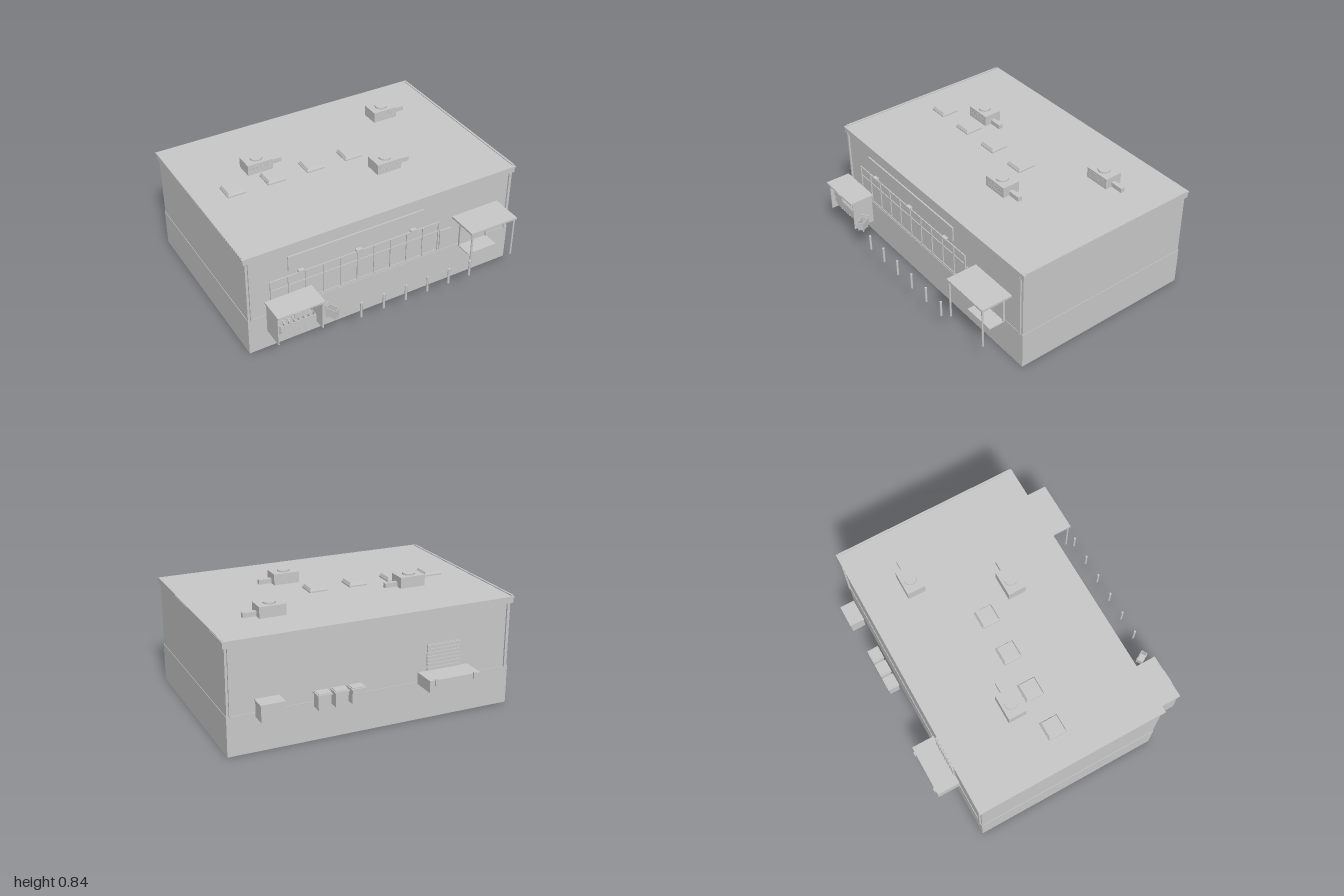
import * as THREE from 'three';

const grey = new THREE.MeshStandardMaterial({ color: 0xc8c8c8 });
grey.name = 'plain light grey';

export function createModel() {
  const model = new THREE.Group();
  model.name = 'storeBuilding';

  const add = (name, geometry, parent = model) => {
    const mesh = new THREE.Mesh(geometry, grey);
    mesh.name = name;
    parent.add(mesh);
    return mesh;
  };
  // box given by its limits on each axis
  const box = (name, x0, x1, y0, y1, z0, z1, parent = model) => {
    const mesh = add(name, new THREE.BoxGeometry(x1 - x0, y1 - y0, z1 - z0), parent);
    mesh.position.set((x0 + x1) / 2, (y0 + y1) / 2, (z0 + z1) / 2);
    return mesh;
  };
  const rod = (name, x, z, y0, y1, r, parent = model, sides = 12) => {
    const mesh = add(name, new THREE.CylinderGeometry(r, r, y1 - y0, sides), parent);
    mesh.position.set(x, (y0 + y1) / 2, z);
    return mesh;
  };
  const group = (name) => {
    const g = new THREE.Group();
    g.name = name;
    model.add(g);
    return g;
  };

  // main volume
  box('base', -0.985, 0.985, 0, 0.265, -0.707, 0.615);
  box('upperWalls', -0.982, 0.982, 0.265, 0.71, -0.703, 0.612);
  box('roofFascia', -0.995, 0.995, 0.705, 0.742, -0.716, 0.62);
  box('roofSlab', -1, 1, 0.74, 0.75, -0.72, 0.623);
  for (const s of [-1, 1]) {
    box('roofEdge', s * 0.992 - 0.007, s * 0.992 + 0.007, 0.75, 0.756, -0.705, 0.605);
    for (const z of [0.617, -0.709]) {
      box('downpipe', s * 0.96 - 0.007, s * 0.96 + 0.007, 0.26, 0.71, z - 0.006, z + 0.006);
    }
  }

  // sign board and lamps
  box('signBoard', -0.70, 0.285, 0.55, 0.655, 0.61, 0.622);
  for (const x of [-0.615, -0.205, 0.2]) {
    box('signLamp', x - 0.02, x + 0.02, 0.52, 0.532, 0.61, 0.637);
  }

  // shop windows
  const windows = group('shopWindows');
  box('glass', -0.825, 0.41, 0.28, 0.505, 0.61, 0.6135, windows);
  for (let i = 0; i <= 10; i++) {
    const x = -0.822 + i * 0.1228;
    box('mullion', x - 0.004, x + 0.004, 0.28, 0.505, 0.61, 0.621, windows);
  }
  for (const y of [0.283, 0.435, 0.505]) {
    box('windowRail', -0.826, 0.41, y - 0.004, y + 0.004, 0.61, 0.619, windows);
  }
  box('noticePanel', 0.42, 0.51, 0.28, 0.43, 0.61, 0.62);

  // entrance with canopy
  const entrance = group('entrance');
  box('doorLeaf', 0.59, 0.80, 0.25, 0.465, 0.61, 0.617, entrance);
  for (const x of [0.585, 0.802]) {
    box('doorFrame', x - 0.005, x + 0.005, 0.25, 0.475, 0.61, 0.627, entrance);
  }
  box('doorMeeting', 0.69, 0.7, 0.25, 0.465, 0.61, 0.62, entrance);
  box('doorHead', 0.58, 0.807, 0.465, 0.475, 0.61, 0.627, entrance);
  box('doorSensor', 0.68, 0.71, 0.467, 0.482, 0.61, 0.633, entrance);
  box('doorstep', 0.58, 0.807, 0.245, 0.253, 0.61, 0.73, entrance);
  box('canopyRoof', 0.515, 0.875, 0.495, 0.51, 0.612, 0.833, entrance);
  for (const x of [0.53, 0.862]) {
    rod('canopyPost', x, 0.822, 0.21, 0.5, 0.007, entrance);
  }

  // bollards
  for (let i = 0; i < 6; i++) {
    rod('bollard', -0.328 + i * 0.1637, 0.867, 0.21, 0.325, 0.008);
  }

  // trolley with open basket, handle toward -x
  const trolley = (x, z, turn) => {
    const g = group('trolley');
    for (const s of [-1, 1]) {
      box('basketSide', -0.035, 0.035, 0.265, 0.323, s * 0.021 - 0.002, s * 0.021 + 0.002, g);
      box('chassisRail', -0.035, 0.03, 0.258, 0.263, s * 0.018 - 0.002, s * 0.018 + 0.002, g);
      box('handleArm', -0.045, -0.039, 0.265, 0.335, s * 0.021 - 0.002, s * 0.021 + 0.002, g);
      for (const wx of [-0.03, 0.027]) {
        const wheel = rod('wheel', wx, s * 0.018, 0.25, 0.255, 0.006, g, 10);
        wheel.rotation.x = Math.PI / 2;
      }
    }
    box('basketFloor', -0.035, 0.035, 0.265, 0.269, -0.022, 0.022, g);
    box('basketFront', 0.032, 0.036, 0.265, 0.32, -0.022, 0.022, g);
    box('basketBack', -0.036, -0.032, 0.265, 0.325, -0.022, 0.022, g);
    box('handle', -0.046, -0.04, 0.331, 0.337, -0.023, 0.023, g);
    g.position.set(x, 0, z);
    g.rotation.y = turn;
  };
  for (let i = 0; i < 6; i++) trolley(-0.825 + i * 0.034, 0.795, 0);
  trolley(-0.505, 0.818, -1.05);

  // trolley shelter
  const shelter = group('trolleyShelter');
  box('shelterRoof', -0.897, -0.575, 0.42, 0.433, 0.68, 0.856, shelter);
  for (const x of [-0.888, -0.584]) {
    box('shelterSide', x - 0.004, x + 0.004, 0.21, 0.422, 0.69, 0.84, shelter);
  }
  box('shelterBack', -0.888, -0.584, 0.21, 0.422, 0.688, 0.694, shelter);
  box('shelterPlate', -0.79, -0.69, 0.388, 0.43, 0.853, 0.86, shelter);

  // rooftop ventilation units
  for (const [x, z] of [[-0.49, -0.217], [0.57, -0.377], [0.245, 0.196]]) {
    const unit = group('roofVentUnit');
    box('cabinet', -0.09, 0.09, 0.75, 0.825, -0.063, 0.063, unit);
    rod('fanCover', 0, 0, 0.825, 0.836, 0.042, unit, 24);
    box('duct', 0.09, 0.18, 0.752, 0.784, -0.015, 0.015, unit);
    for (let i = 0; i < 4; i++) {
      for (let j = 0; j < 6; j++) {
        const y = 0.766 + i * 0.013;
        const gx = -0.074 + j * 0.0255;
        box('grilleSlat', gx, gx + 0.02, y, y + 0.006, 0.062, 0.0645, unit);
      }
    }
    unit.position.set(x, 0, z);
  }

  // skylights with slightly sloping domes
  for (const x of [-0.738, -0.453, -0.168, 0.12]) {
    box('skylightCurb', x - 0.064, x + 0.064, 0.75, 0.76, -0.116, 0.012);
    const dome = new THREE.CylinderGeometry(0.077, 0.089, 0.02, 4, 1).toNonIndexed();
    dome.rotateY(Math.PI / 4);
    dome.computeVertexNormals();
    add('skylightDome', dome).position.set(x, 0.769, -0.052);
  }

  // rear loading dock and shutter
  const dock = group('loadingDock');
  box('dockPlatform', -0.673, -0.308, 0.25, 0.33, -0.865, -0.7, dock);
  for (const x of [-0.632, -0.355]) {
    box('dockBumper', x - 0.011, x + 0.011, 0.295, 0.338, -0.875, -0.86, dock);
  }
  box('shutter', -0.615, -0.37, 0.33, 0.51, -0.708, -0.7, dock);
  for (let i = 0; i < 7; i++) {
    const y = 0.34 + i * 0.025;
    box('shutterSlat', -0.613, -0.372, y, y + 0.014, -0.714, -0.707, dock);
  }

  // rear bins and service cabinet
  for (const x of [0.163, 0.276, 0.39]) {
    box('binBody', x - 0.043, x + 0.043, 0.25, 0.342, -0.817, -0.745);
    box('binLid', x - 0.049, x + 0.049, 0.342, 0.35, -0.822, -0.74);
    box('binLidTop', x - 0.041, x + 0.041, 0.35, 0.355, -0.814, -0.748);
  }
  box('serviceCabinet', 0.66, 0.81, 0.25, 0.358, -0.835, -0.738);
  box('cabinetLid', 0.655, 0.815, 0.358, 0.366, -0.84, -0.735);

  return model;
}
